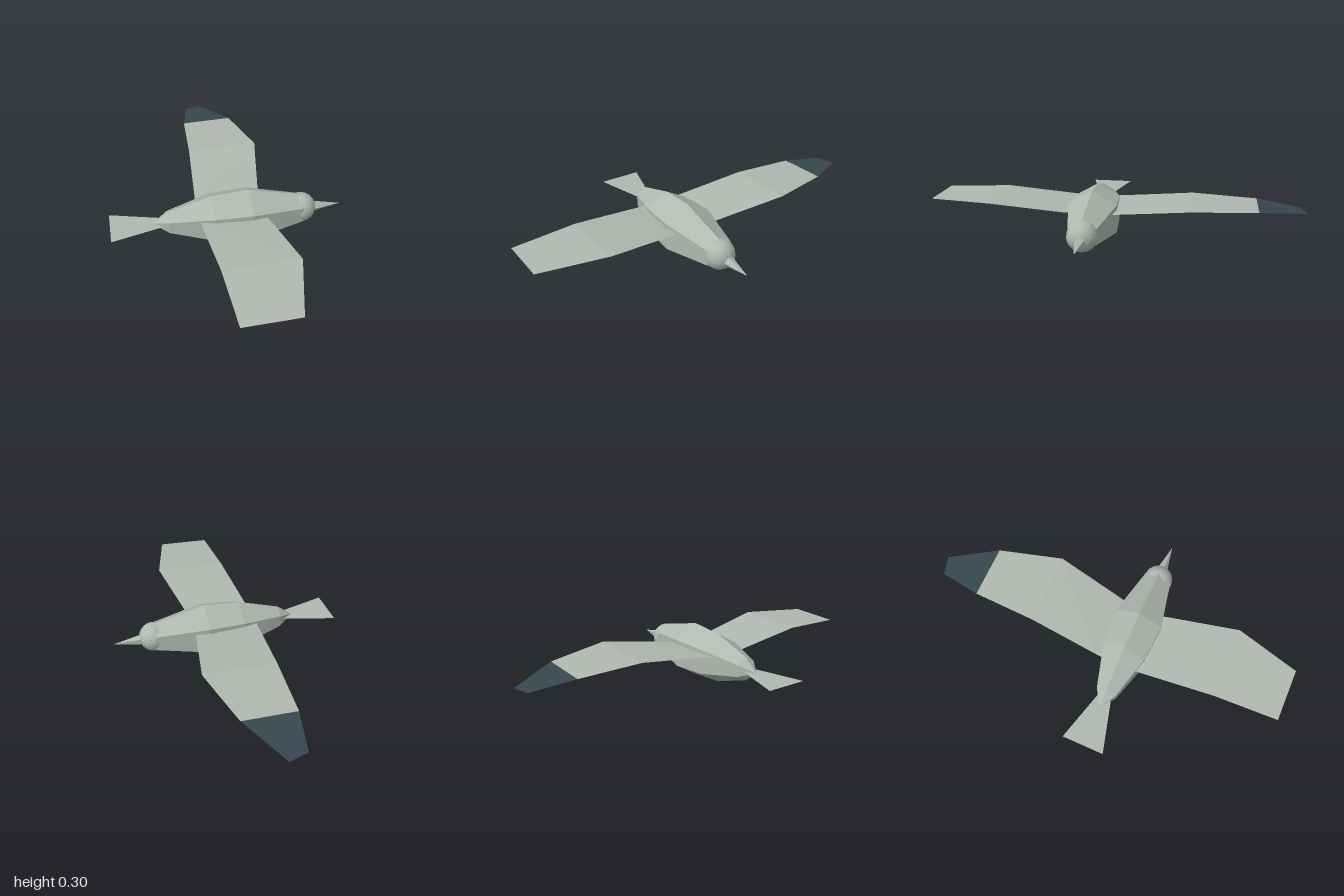
import * as THREE from 'three';

const CY = 0.153; // height of the body axis
const CZ = 0.13;  // body axis offset in z

// Thin sheet through rows of [trailing point, leading point]
function sheet(rows, material, name) {
  const positions = [];
  for (let i = 0; i + 1 < rows.length; i++) {
    const [a, b] = rows[i];
    const [c, d] = rows[i + 1];
    positions.push(...a, ...b, ...d, ...a, ...d, ...c);
  }
  const geometry = new THREE.BufferGeometry();
  geometry.setAttribute('position', new THREE.Float32BufferAttribute(positions, 3));
  geometry.computeVertexNormals();
  const mesh = new THREE.Mesh(geometry, material);
  mesh.name = name;
  return mesh;
}

export function createModel() {
  const bird = new THREE.Group();
  bird.name = 'bird';

  const plumage = new THREE.MeshStandardMaterial({ color: 0xb0b8b0, flatShading: true });
  plumage.name = 'greyPlumage';
  const smoothPlumage = plumage.clone();
  smoothPlumage.flatShading = false;
  const feather = plumage.clone();
  feather.side = THREE.DoubleSide;
  const dark = new THREE.MeshStandardMaterial({ color: 0x37474f, flatShading: true, side: THREE.DoubleSide });
  dark.name = 'darkWingTip';

  // Six-sided body along x, ridge on top: [x, radius]
  const stations = [[-0.405, 0], [-0.32, 0.064], [-0.088, 0.137], [0.112, 0.152],
    [0.3, 0.107], [0.39, 0.086], [0.425, 0.068], [0.47, 0.03], [0.472, 0]];
  const bodyGeometry = new THREE.LatheGeometry(
    stations.map(([x, r]) => new THREE.Vector2(r, x)), 6, Math.PI / 2);
  bodyGeometry.rotateZ(-Math.PI / 2);
  const body = new THREE.Mesh(bodyGeometry, plumage);
  body.name = 'body';
  body.position.set(0, CY, CZ);
  bird.add(body);

  // Rounded head emerging from the front of the body
  const head = new THREE.Mesh(new THREE.SphereGeometry(0.08, 16, 12), smoothPlumage);
  head.name = 'head';
  head.position.set(0.399, CY + 0.002, CZ);
  bird.add(head);

  // Pointed beak
  const beakGeometry = new THREE.ConeGeometry(0.029, 0.147, 5);
  beakGeometry.rotateZ(-Math.PI / 2);
  const beak = new THREE.Mesh(beakGeometry, plumage);
  beak.name = 'beak';
  beak.position.set(0.5465, 0.148, CZ - 0.003);
  bird.add(beak);

  // Wings, rows from the root outward; s is the side in z
  const row = (s, z, xBack, yBack, xFront, yFront) =>
    [[xBack, yBack, CZ + s * z], [xFront, yFront, CZ + s * z]];
  for (const [s, name] of [[1, 'rightWing'], [-1, 'leftWing']]) {
    bird.add(sheet([
      row(s, 0.08, -0.163, 0.198, 0.175, 0.198),
      row(s, 0.13, -0.16, 0.202, 0.19, 0.202),
      row(s, 0.522, -0.132, 0.243, 0.257, 0.256),
      row(s, 0.87, -0.115, 0.23, 0.168, 0.24),
    ], feather, name));
  }

  // Dark tip on the left wing
  bird.add(sheet([
    row(-1, 0.87, -0.115, 0.23, 0.168, 0.24),
    [[-0.073, 0.202, -0.972], [0.027, 0.2, -1]],
  ], dark, 'leftWingTip'));

  // Flat fan tail
  bird.add(sheet([
    [[-0.625, CY, CZ - 0.114], [-0.3, CY, CZ - 0.025]],
    [[-0.625, CY, CZ + 0.114], [-0.3, CY, CZ + 0.025]],
  ], feather, 'tail'));

  return bird;
}
